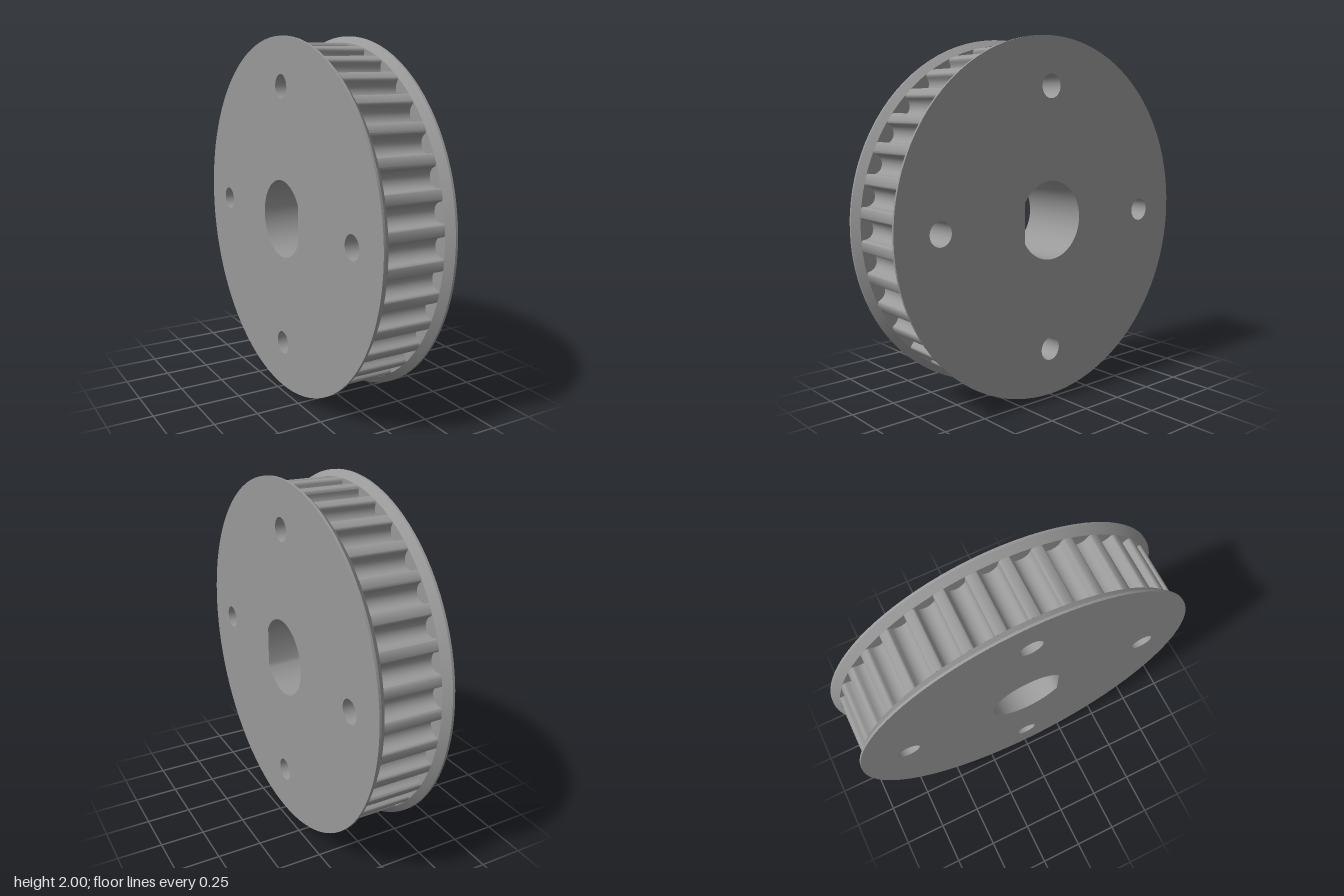
import * as THREE from 'three';
import { toCreasedNormals } from 'three/addons/utils/BufferGeometryUtils.js';

const TEETH = 35, HALF = 0.213, BELT = 0.163, TIP = 0.965;
const material = new THREE.MeshStandardMaterial({ color: 0x999999 });

function mesh(name, geometry) {
  const m = new THREE.Mesh(geometry, material);
  m.name = name;
  return m;
}

// Wall swept along z from a counter-clockwise outline, facing out or in
function wall(points, half, inward = false) {
  const n = points.length, pos = [], index = [];
  for (const p of points) pos.push(p.x, p.y, -half, p.x, p.y, half);
  for (let i = 0; i < n; i++) {
    const a = 2 * i, b = 2 * ((i + 1) % n);
    if (inward) index.push(a, b + 1, b, a, a + 1, b + 1);
    else index.push(a, b, b + 1, a, b + 1, a + 1);
  }
  const g = new THREE.BufferGeometry();
  g.setAttribute('position', new THREE.Float32BufferAttribute(pos, 3));
  g.setIndex(index);
  return toCreasedNormals(g, 0.6);
}

function arc(cx, cy, r, from, to, steps) {
  return Array.from({ length: steps + 1 }, (_, i) => {
    const a = from + (to - from) * i / steps;
    return new THREE.Vector2(cx + r * Math.cos(a), cy + r * Math.sin(a));
  });
}
const circle = (cx, cy, r, steps) => arc(cx, cy, r, 0, 2 * Math.PI, steps).slice(0, -1);

// Toothed outline: one round-bottomed groove with eased lips per tooth,
// the first groove centred on the front
function toothOutline() {
  const lip = [[0.065, 0.963], [0.058, 0.96], [0.0535, 0.953]];
  const groove = [
    ...lip.map(([t, r]) => [-t, r]),
    ...arc(0, 0.945, 0.052, Math.PI, 2 * Math.PI, 12).map(p => [p.x, p.y]),
    ...lip.map(([t, r]) => [t, r]).reverse(),
  ];
  const points = [];
  for (let i = 0; i < TEETH; i++) {
    const c = Math.PI + i * 2 * Math.PI / TEETH, cos = Math.cos(c), sin = Math.sin(c);
    for (const [t, r] of groove) points.push(new THREE.Vector2(r * cos - t * sin, r * sin + t * cos));
  }
  return points;
}

export function createModel() {
  const model = new THREE.Group();
  model.name = 'timingPulley';
  const pulley = new THREE.Group(); // built along z, then turned onto x
  pulley.name = 'pulley';
  model.add(pulley);

  // Toothed belt track
  pulley.add(mesh('toothedRim', wall(toothOutline(), BELT)));

  // D-shaped shaft bore and four bolt holes
  const flat = Math.PI - Math.acos(0.19 / 0.219);
  const bore = arc(0, 0, 0.219, -flat, flat, 48);
  const bolts = [0, 1, 2, 3].map(i => {
    const a = i * Math.PI / 2;
    return circle(0.733 * Math.cos(a), 0.733 * Math.sin(a), 0.066, 32);
  });
  pulley.add(mesh('shaftBore', wall(bore, HALF, true)));
  bolts.forEach((b, i) => pulley.add(mesh('boltHole' + (i + 1), wall(b, HALF, true))));

  // Flanges: pierced outer face and bevelled edge, one per side
  const face = new THREE.Shape(circle(0, 0, 1, 96));
  face.holes = [bore, ...bolts].map(p => new THREE.Path(p));
  const profile = [[0.87, BELT], [TIP, BELT], [1, 0.2], [1, HALF]].map(p => new THREE.Vector2(...p));
  for (const [side, s] of [['left', 1], ['right', -1]]) {
    const plate = new THREE.ShapeGeometry(face).translate(0, 0, HALF);
    if (s < 0) plate.rotateX(Math.PI);
    pulley.add(mesh(side + 'FlangeFace', plate));
    const edge = toCreasedNormals(new THREE.LatheGeometry(profile, 96), 0.4);
    pulley.add(mesh(side + 'FlangeEdge', edge.rotateX(s * Math.PI / 2)));
  }

  pulley.rotation.y = Math.PI / 2;
  pulley.position.y = 1;
  return model;
}
